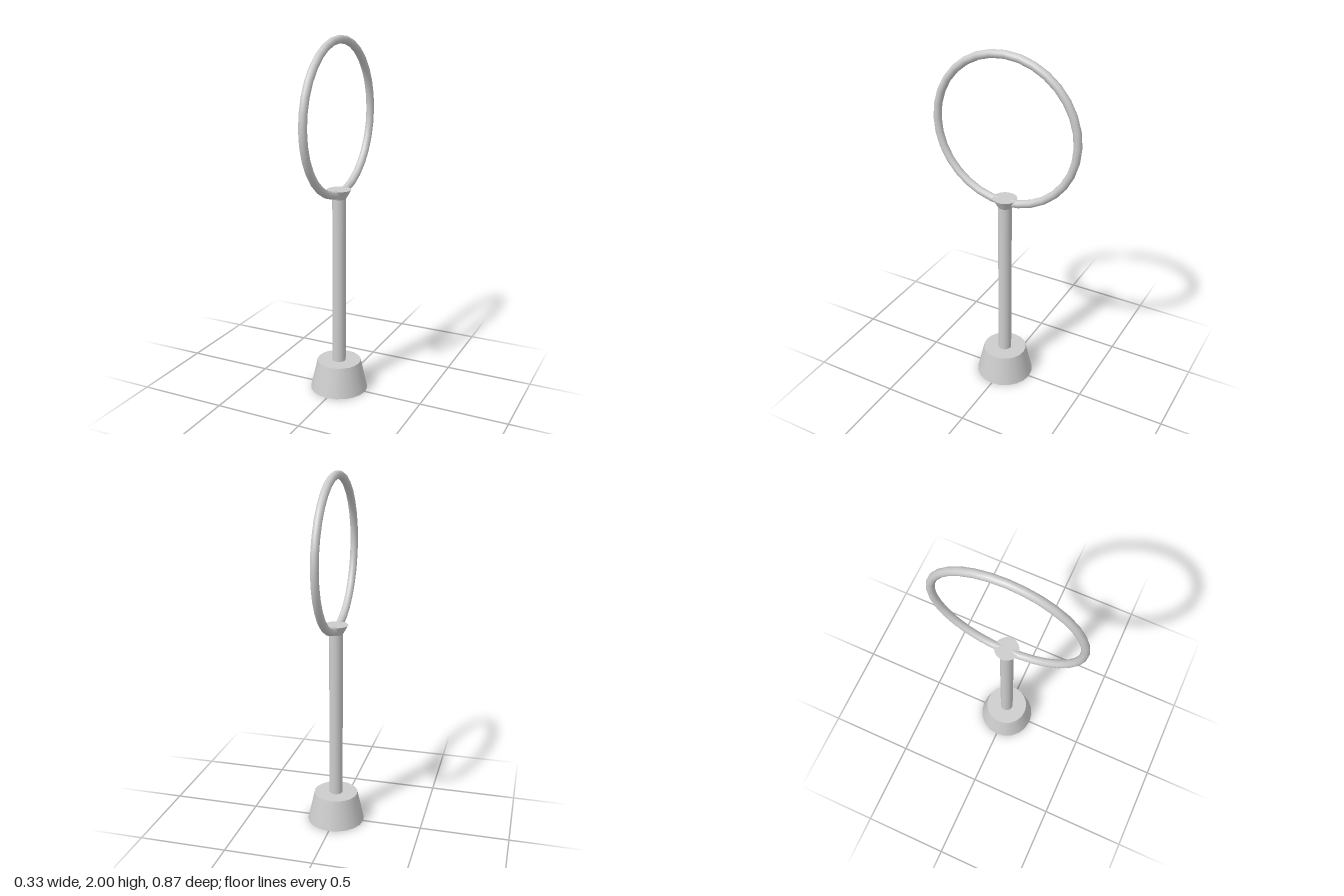
import * as THREE from 'three';

export function createModel() {
  const group = new THREE.Group();
  const material = new THREE.MeshStandardMaterial({ color: 0xcccccc });

  const add = (name, geometry, y) => {
    const mesh = new THREE.Mesh(geometry, material);
    mesh.name = name;
    mesh.position.y = y;
    group.add(mesh);
    return mesh;
  };

  // Upright tapered part standing between two heights
  const taper = (name, topRadius, bottomRadius, y0, y1, sides) =>
    add(name, new THREE.CylinderGeometry(topRadius, bottomRadius, y1 - y0, sides), (y0 + y1) / 2);

  taper('base', 0.125, 0.164, 0, 0.17, 20);
  taper('pole', 0.038, 0.038, 0.17, 1.15, 32);
  taper('collar', 0.067, 0.036, 1.125, 1.18, 32);

  // Upright hoop lying in the side plane, its lowest point set into the collar
  const hoop = add('hoop', new THREE.TorusGeometry(0.411, 0.022, 12, 32), 1.567);
  hoop.rotation.y = Math.PI / 2;

  return group;
}
